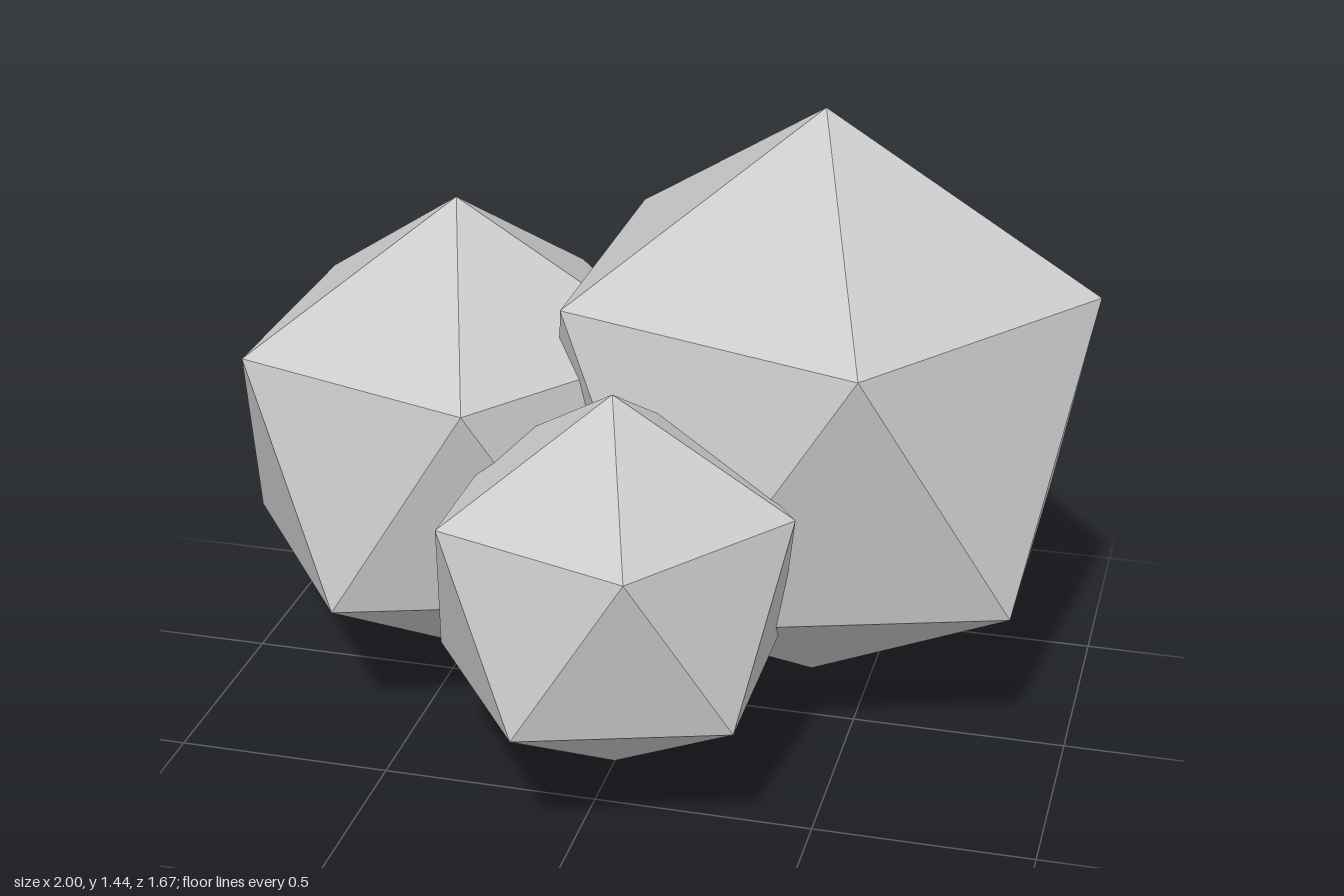
import * as THREE from 'three';

// Icosahedron standing on one corner, with an upper-ring corner pointing to +x
function boulder(name, radius, x, y, z) {
  const geometry = new THREE.IcosahedronGeometry(radius, 0);
  const golden = (1 + Math.sqrt(5)) / 2;
  geometry.rotateZ(-Math.atan(1 / golden));
  const material = new THREE.MeshStandardMaterial({ color: 0xcccccc, flatShading: true });
  const mesh = new THREE.Mesh(geometry, material);
  mesh.name = name;
  mesh.position.set(x, y, z);
  return mesh;
}

export function createModel() {
  const group = new THREE.Group();
  group.name = 'boulderCluster';
  group.add(
    boulder('largeBoulder', 0.72, 0.354, 0.724, -0.22),
    boulder('mediumBoulder', 0.586, -0.476, 0.627, -0.06),
    boulder('smallBoulder', 0.453, 0.032, 0.533, 0.448),
  );
  return group;
}
